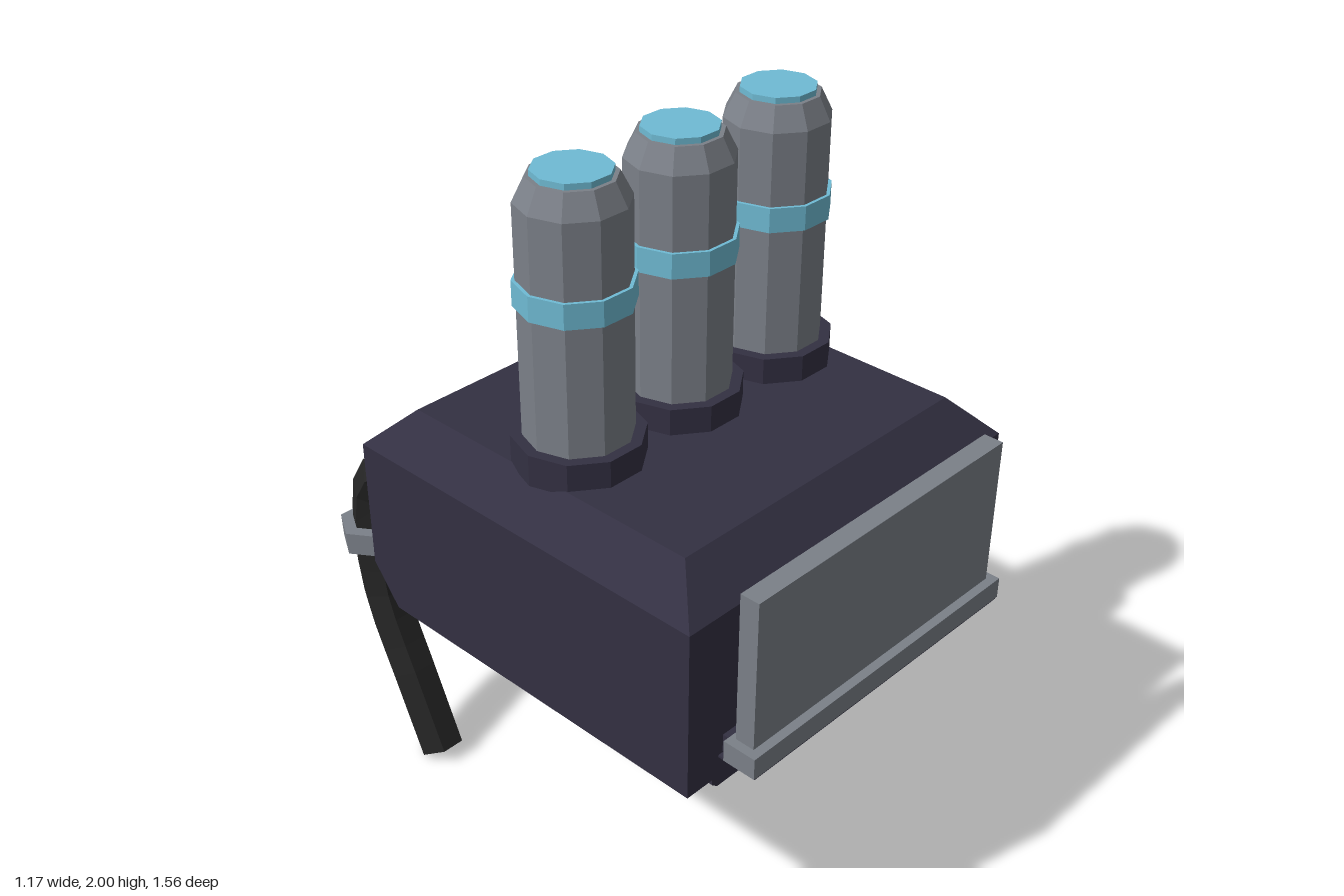
import * as THREE from 'three';

const material = (name, color) => {
  const m = new THREE.MeshStandardMaterial({ color });
  m.name = name;
  return m;
};

// Faceted look: every face gets its own normal
function flat(geometry) {
  const g = geometry.index ? geometry.toNonIndexed() : geometry;
  g.computeVertexNormals();
  return g;
}

// Closed solid from stacked rectangles: [y, halfWidth, zBack, zFront]
function loft(levels) {
  const pos = [], index = [];
  for (const [y, w, z0, z1] of levels) pos.push(-w, y, z1, w, y, z1, w, y, z0, -w, y, z0);
  for (let i = 0; i < levels.length - 1; i++) {
    for (let j = 0; j < 4; j++) {
      const a = i * 4 + j, b = i * 4 + (j + 1) % 4;
      index.push(a, b, b + 4, a, b + 4, a + 4);
    }
  }
  const t = (levels.length - 1) * 4;
  index.push(0, 2, 1, 0, 3, 2, t, t + 1, t + 2, t, t + 2, t + 3);
  const g = new THREE.BufferGeometry();
  g.setAttribute('position', new THREE.Float32BufferAttribute(pos, 3));
  g.setIndex(index);
  return flat(g);
}

export function createModel() {
  const model = new THREE.Group();
  const navy = material('dark navy casing', 0x333042);
  const grey = material('grey metal', 0x7b8088);
  const blue = material('light blue glow', 0x6fbbd4);
  const black = material('black rubber', 0x252525);

  const add = (parent, name, geometry, mat, x = 0, y = 0, z = 0) => {
    const mesh = new THREE.Mesh(geometry, mat);
    mesh.name = name;
    mesh.position.set(x, y, z);
    parent.add(mesh);
    return mesh;
  };
  const box = (name, w, y0, y1, z0, z1, mat) =>
    add(model, name, new THREE.BoxGeometry(w, y1 - y0, z1 - z0), mat, 0, (y0 + y1) / 2, (z0 + z1) / 2);
  // Prism or cone frustum with a corner on the x axis
  const prism = (rTop, rBottom, h, sides) =>
    flat(new THREE.CylinderGeometry(rTop, rBottom, h, sides).rotateY(Math.PI / 2));

  // Casing with bevelled top and a chamfer under the back
  add(model, 'casing', loft([
    [0.67, 0.585, -0.39, 0.665],
    [0.78, 0.585, -0.475, 0.665],
    [1.147, 0.585, -0.475, 0.665],
    [1.253, 0.485, -0.365, 0.557],
  ]), navy);

  // Stepped plate beneath the casing
  add(model, 'bottomPlate', loft([
    [0.59, 0.442, -0.4, 0.63],
    [0.605, 0.46, -0.4, 0.63],
    [0.655, 0.46, -0.4, 0.63],
    [0.655, 0.52, -0.4, 0.63],
    [0.68, 0.52, -0.4, 0.63],
  ]), navy);

  // Front panel standing on a ledge
  box('frontPanel', 0.92, 0.76, 1.215, 0.7, 0.755, grey);
  box('panelLedge', 0.97, 0.735, 0.795, 0.685, 0.78, grey);
  box('ledgeBracket', 0.93, 0.74, 0.79, 0.65, 0.69, navy);
  box('ledgeUnderside', 0.96, 0.73, 0.736, 0.66, 0.778, navy);

  // Three canisters in a row
  for (const x of [-0.348, 0, 0.348]) {
    const canister = new THREE.Group();
    canister.name = 'canister';
    canister.position.set(x, 0, 0.08);
    model.add(canister);
    const stack = (name, y0, y1, rBottom, rTop, mat) =>
      add(canister, name, prism(rTop, rBottom, y1 - y0, 10), mat, 0, (y0 + y1) / 2, 0);
    stack('canisterSocket', 1.24, 1.325, 0.167, 0.167, navy);
    stack('canisterBody', 1.325, 1.925, 0.138, 0.138, grey);
    stack('canisterShoulder', 1.925, 1.985, 0.138, 0.108, grey);
    stack('canisterBand', 1.67, 1.735, 0.147, 0.147, blue);
    stack('canisterCap', 1.98, 2, 0.097, 0.097, blue);
  }

  // Hoses leaving the back and hanging down, each with a clamp
  const path = [
    [1.03, -0.4], [1.0, -0.475], [0.935, -0.605], [0.85, -0.67], [0.75, -0.687],
    [0.6, -0.69], [0.47, -0.667], [0.25, -0.573], [0.027, -0.475],
  ].map(([y, z]) => new THREE.Vector3(0, y, z));
  const curve = new THREE.CatmullRomCurve3(path);
  for (const side of [-1, 1]) {
    const hose = new THREE.Group();
    hose.name = side > 0 ? 'leftHose' : 'rightHose';
    hose.position.x = side * 0.418;
    model.add(hose);
    add(hose, 'hoseTube', flat(new THREE.TubeGeometry(curve, 14, 0.068, 6)), black);
    const end = add(hose, 'hoseEnd', new THREE.CircleGeometry(0.068, 6), black);
    end.quaternion.setFromRotationMatrix(new THREE.Matrix4().lookAt(
      curve.getTangent(1), new THREE.Vector3(), new THREE.Vector3(0, 1, 0)));
    end.position.copy(curve.getPoint(1));
    const clamp = add(hose, 'hoseClamp', prism(0.107, 0.107, 0.065, 6), grey, 0, 0.703, -0.683);
    clamp.rotation.x = -0.06;
  }

  return model;
}
